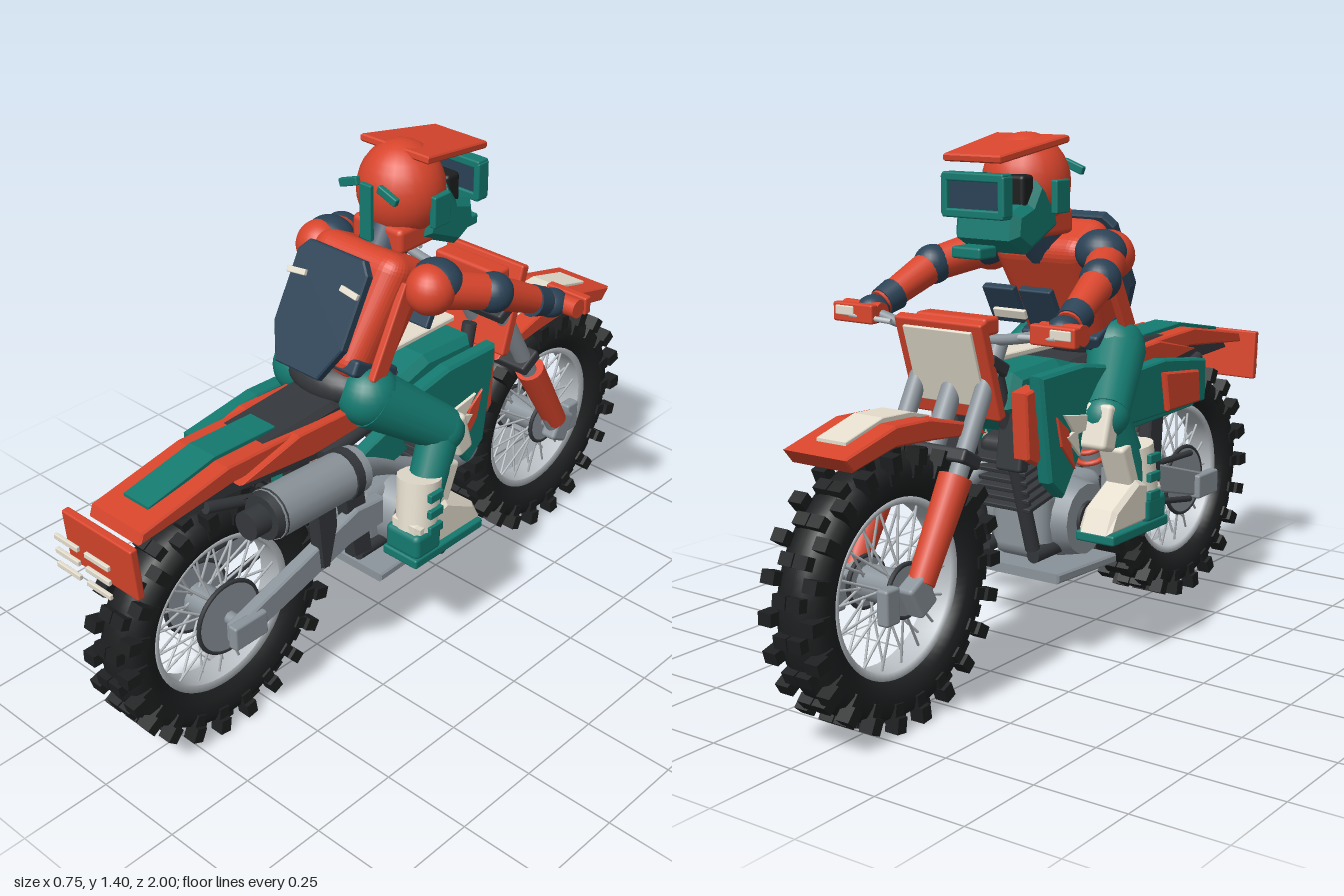
import * as THREE from 'three';
import { mergeGeometries } from 'three/addons/utils/BufferGeometryUtils.js';
import { RoundedBoxGeometry } from 'three/addons/geometries/RoundedBoxGeometry.js';

const mat = (color) => new THREE.MeshStandardMaterial({ color, roughness: 0.7 });
const M = {
  red: mat(0xd8452c), teal: mat(0x147a70), navy: mat(0x2a4256), black: mat(0x1d1f20),
  dark: mat(0x34373b), grey: mat(0x8b949b), silver: mat(0xb9bfc4), cream: mat(0xe6dfcf),
};
const V = (p) => new THREE.Vector3(...p);

export function createModel() {
  const root = new THREE.Group();
  root.name = 'motocrossRider';
  let target = root;

  const add = (name, m, geo) => {
    const mesh = new THREE.Mesh(geo, M[m]);
    mesh.name = name;
    target.add(mesh);
    return mesh;
  };
  const box = (name, m, size, pos, rx = 0, ry = 0, rz = 0) => {
    const mesh = add(name, m, new RoundedBoxGeometry(...size, 2, Math.min(...size) * 0.22));
    mesh.position.set(...pos);
    mesh.rotation.set(rx, ry, rz);
    return mesh;
  };
  const ball = (name, m, pos, r, scale = [1, 1, 1]) => {
    const mesh = add(name, m, new THREE.SphereGeometry(r, 24, 16));
    mesh.position.set(...pos);
    mesh.scale.set(...scale);
    return mesh;
  };
  // Tapered round bar from a to b
  const rodGeo = (a, b, r1, r2 = r1, sides = 16) => {
    const d = V(b).sub(V(a));
    const q = new THREE.Quaternion().setFromUnitVectors(new THREE.Vector3(0, 1, 0), d.clone().normalize());
    const mid = V(a).addScaledVector(d, 0.5);
    return new THREE.CylinderGeometry(r2, r1, d.length(), sides).applyQuaternion(q).translate(mid.x, mid.y, mid.z);
  };
  const rod = (name, m, a, b, r1, r2) => add(name, m, rodGeo(a, b, r1, r2));
  // Side outline of [z, y] points, extruded across x around the centre cx
  const slab = (name, m, pts, width, cx = 0, bevel = 0.005) => {
    const shape = new THREE.Shape(pts.map(([z, y]) => new THREE.Vector2(z, y)));
    const depth = width - 2 * bevel;
    const geo = new THREE.ExtrudeGeometry(shape, { depth, bevelSize: bevel, bevelThickness: bevel, bevelSegments: 1, bevelOffset: -bevel });
    return add(name, m, geo.rotateY(-Math.PI / 2).translate(cx + depth / 2, 0, 0));
  };
  const both = (fn) => [1, -1].forEach(fn);
  const group = (name, fn) => {
    const g = new THREE.Group();
    g.name = name;
    root.add(g);
    target = g;
    fn(g);
    target = root;
  };

  // Wheels: tyre, knobs, rim, crossed spokes, hub
  const wheel = (name, z, discR) => group(name, (g) => {
    g.position.set(0, 0.345, z);
    const lathe = (pts) => new THREE.LatheGeometry(pts.map(([r, x]) => new THREE.Vector2(r, x)), 64).rotateZ(Math.PI / 2);
    add('tyre', 'black', lathe([[0.222, -0.04], [0.245, -0.06], [0.28, -0.068], [0.31, -0.058], [0.325, -0.03], [0.327, 0],
      [0.325, 0.03], [0.31, 0.058], [0.28, 0.068], [0.245, 0.06], [0.222, 0.04], [0.222, -0.04]]));
    add('rim', 'silver', lathe([[0.205, -0.035], [0.226, -0.042], [0.226, 0.042], [0.205, 0.035], [0.205, -0.035]]));
    const knobs = [], spokes = [], n = 44;
    for (let i = 0; i < n; i++) {
      const a = (i / n) * Math.PI * 2;
      const xs = i % 2 ? [-0.064, 0.064] : [-0.022, 0.022];
      xs.forEach((x) => knobs.push(new THREE.BoxGeometry(0.04, 0.04, 0.032).translate(x, 0.324, 0).rotateX(a)));
      if (i % 2) both((s) => knobs.push(new THREE.BoxGeometry(0.018, 0.035, 0.03).translate(s * 0.064, 0.29, 0).rotateX(a)));
    }
    for (let i = 0; i < 36; i++) {
      const a = (i / 36) * Math.PI * 2, b = a + (i % 4 < 2 ? 0.28 : -0.28), x = i % 2 ? 0.04 : -0.04;
      spokes.push(rodGeo([x, 0.04 * Math.sin(b), 0.04 * Math.cos(b)], [x * 0.3, 0.21 * Math.sin(a), 0.21 * Math.cos(a)], 0.0035, 0.0035, 6));
    }
    add('tyreKnobs', 'black', mergeGeometries(knobs));
    add('spokes', 'silver', mergeGeometries(spokes));
    rod('hub', 'grey', [-0.055, 0, 0], [0.055, 0, 0], 0.045);
    rod('axle', 'grey', [-0.13, 0, 0], [0.13, 0, 0], 0.018);
    both((s) => {
      rod('brakeDisc', 'grey', [s * 0.058, 0, 0], [s * 0.066, 0, 0], discR);
      const ring = add('discEdge', 'dark', new THREE.TorusGeometry(discR, 0.006, 8, 40).rotateY(Math.PI / 2));
      ring.position.x = s * 0.062;
    });
  });
  wheel('rearWheel', 0.62, 0.1);
  wheel('frontWheel', -0.66, 0.065);

  group('frontEnd', () => {
    both((s) => {
      const x = s * 0.105;
      rod('forkTube', 'grey', [x, 0.345, -0.655], [x, 0.9, -0.345], 0.024);
      rod('forkGuard', 'red', [x, 0.37, -0.655], [x, 0.6, -0.52], 0.034, 0.042);
      box('axleClamp', 'grey', [0.05, 0.09, 0.07], [x, 0.345, -0.67], -0.5);
      box('brakeCaliper', 'grey', [0.035, 0.09, 0.05], [s * 0.085, 0.335, -0.75]);
      // Handlebar half with grip and lever
      const curve = new THREE.CatmullRomCurve3([V([0, 0.91, -0.36]), V([s * 0.1, 0.91, -0.36]), V([s * 0.2, 0.925, -0.36]), V([s * 0.28, 0.945, -0.365]), V([s * 0.36, 0.95, -0.365])]);
      add('handlebar', 'grey', new THREE.TubeGeometry(curve, 24, 0.014, 10));
      rod('grip', 'red', [s * 0.25, 0.945, -0.365], [s * 0.37, 0.947, -0.365], 0.026);
      box('handGuard', 'red', [0.13, 0.05, 0.025], [s * 0.31, 0.945, -0.4]);
      box('guardTrim', 'cream', [0.06, 0.025, 0.015], [s * 0.335, 0.95, -0.408]);
      rod('lever', 'silver', [s * 0.2, 0.93, -0.39], [s * 0.32, 0.94, -0.41], 0.007);
    });
    [[0.64, -0.49], [0.85, -0.375]].forEach(([y, z]) => box('forkClamp', 'dark', [0.27, 0.035, 0.075], [0, y, z], 0.5));
    rod('steeringStem', 'grey', [0, 0.6, -0.5], [0, 0.87, -0.35], 0.028);
    box('frontPlate', 'red', [0.27, 0.26, 0.03], [0, 0.84, -0.405], -0.3);
    box('frontPlateFace', 'cream', [0.21, 0.2, 0.012], [0, 0.845, -0.425], -0.3);
    box('barPad', 'red', [0.22, 0.045, 0.06], [0, 0.945, -0.375]);
    slab('frontFender', 'red', [[-0.38, 0.68], [-0.42, 0.71], [-0.6, 0.755], [-0.72, 0.76], [-0.9, 0.715], [-0.87, 0.68], [-0.72, 0.71], [-0.58, 0.7]], 0.19);
    slab('fenderStripe', 'cream', [[-0.53, 0.745], [-0.61, 0.768], [-0.71, 0.772], [-0.84, 0.738], [-0.84, 0.728], [-0.71, 0.755], [-0.6, 0.75]], 0.09, 0, 0.002);
  });

  group('frameAndEngine', () => {
    both((s) => {
      rod('downTube', 'dark', [s * 0.06, 0.82, -0.3], [s * 0.08, 0.33, -0.17], 0.02);
      rod('lowerRail', 'dark', [s * 0.08, 0.31, -0.17], [s * 0.09, 0.32, 0.18], 0.02);
      rod('upperRail', 'dark', [s * 0.06, 0.74, -0.28], [s * 0.09, 0.68, 0.3], 0.02);
      slab('sideFrame', 'dark', [[0.15, 0.33], [0.22, 0.34], [0.27, 0.62], [0.2, 0.68]], 0.04, s * 0.1);
      slab('rearBracket', 'dark', [[0.33, 0.38], [0.36, 0.39], [0.38, 0.62], [0.31, 0.62], [0.3, 0.5]], 0.04, s * 0.12);
      rod('subframe', 'dark', [s * 0.08, 0.56, 0.2], [s * 0.07, 0.71, 0.68], 0.015);
      // Swingarm leg
      slab('swingarm', 'grey', [[0.66, 0.315], [0.66, 0.365], [0.22, 0.5], [0.12, 0.49], [0.12, 0.41], [0.25, 0.405], [0.58, 0.315]], 0.038, s * 0.115);
      box('chainAdjuster', 'grey', [0.03, 0.07, 0.11], [s * 0.135, 0.345, 0.62]);
      rod('crankCover', 'grey', [s * 0.07, 0.38, 0], [s * 0.135, 0.38, 0], 0.11, 0.095);
      rod('crankCap', 'dark', [s * 0.135, 0.38, 0], [s * 0.145, 0.38, 0], 0.05);
      rod('footPeg', 'dark', [s * 0.12, 0.36, 0.05], [s * 0.28, 0.36, 0.05], 0.016);
      box('radiator', 'dark', [0.08, 0.2, 0.04], [s * 0.09, 0.66, -0.26], 0.15);
    });
    box('engineBlock', 'grey', [0.18, 0.2, 0.3], [0, 0.38, 0.01]);
    box('cylinder', 'dark', [0.15, 0.2, 0.12], [0, 0.53, -0.13], -0.2);
    for (let i = 0; i < 6; i++) box('coolingFin', 'dark', [0.21, 0.012, 0.17], [0, 0.46 + i * 0.025, -0.135 - i * 0.005], -0.2);
    slab('skidPlate', 'grey', [[0.14, 0.225], [0.14, 0.25], [-0.14, 0.262], [-0.14, 0.235]], 0.28);
    rod('shock', 'grey', [0, 0.44, 0.24], [0, 0.7, 0.14], 0.03);
    for (let i = 0; i < 6; i++) {
      const coil = add('shockCoil', 'red', new THREE.TorusGeometry(0.042, 0.008, 8, 20).rotateX(Math.PI / 2 - 0.37));
      coil.position.set(0, 0.49 + i * 0.033, 0.22 - i * 0.013);
    }
    // Exhaust on the left, chain on the right
    rod('muffler', 'grey', [0.19, 0.69, 0.29], [0.19, 0.702, 0.59], 0.062, 0.065);
    rod('mufflerBand', 'dark', [0.19, 0.692, 0.32], [0.19, 0.694, 0.345], 0.068);
    rod('mufflerEnd', 'dark', [0.19, 0.702, 0.58], [0.19, 0.703, 0.61], 0.066, 0.058);
    rod('mufflerTip', 'dark', [0.19, 0.703, 0.6], [0.19, 0.704, 0.66], 0.037);
    const pipe = new THREE.CatmullRomCurve3([V([0.04, 0.56, -0.19]), V([0.11, 0.47, -0.25]), V([0.14, 0.5, -0.08]), V([0.14, 0.6, 0.13]), V([0.19, 0.69, 0.3])]);
    add('exhaustPipe', 'grey', new THREE.TubeGeometry(pipe, 32, 0.026, 12));
    [0.29, 0.43].forEach((y) => rod('chain', 'dark', [-0.085, y, 0.62], [-0.085, (y + 0.4) / 2 + 0.03, 0.13], 0.009));
  });

  group('bodywork', () => {
    slab('fuelTank', 'teal', [[0.06, 0.66], [0.06, 0.78], [-0.08, 0.82], [-0.26, 0.81], [-0.29, 0.72], [-0.2, 0.64]], 0.21, 0, 0.02);
    slab('tankStrip', 'cream', [[0.07, 0.833], [0.07, 0.848], [-0.26, 0.848], [-0.26, 0.833]], 0.08, 0, 0.003);
    slab('seat', 'dark', [[0.56, 0.775], [0.5, 0.8], [0.25, 0.815], [0.02, 0.8], [-0.06, 0.79], [0, 0.74], [0.3, 0.72]], 0.17, 0, 0.015);
    slab('rearFender', 'red', [[0.9, 0.725], [0.89, 0.755], [0.62, 0.805], [0.3, 0.795], [0.3, 0.74], [0.6, 0.755]], 0.185);
    slab('rearFenderStripe', 'teal', [[0.83, 0.768], [0.83, 0.776], [0.62, 0.817], [0.42, 0.81], [0.42, 0.79], [0.62, 0.8]], 0.09, 0, 0.002);
    slab('innerFender', 'dark', [[0.86, 0.71], [0.84, 0.735], [0.55, 0.76], [0.25, 0.72], [0.28, 0.66], [0.6, 0.7]], 0.13);
    box('tailPlate', 'red', [0.25, 0.145, 0.022], [0, 0.68, 0.937], 0.08);
    both((s) => [0.635, 0.675, 0.715].forEach((y) => box('tailTrim', 'cream', [0.085, 0.014, 0.01], [s * 0.055, y, 0.995])));
    box('tailLight', 'teal', [0.09, 0.045, 0.05], [0, 0.79, 0.5]);
    both((s) => {
      slab('radiatorShroud', 'teal', [[0.06, 0.79], [-0.08, 0.815], [-0.27, 0.81], [-0.26, 0.73], [-0.23, 0.53], [-0.17, 0.48], [-0.08, 0.6], [0.06, 0.66]], 0.045, s * 0.158, 0.008);
      slab('shroudWing', 'red', [[-0.24, 0.78], [-0.3, 0.77], [-0.29, 0.6], [-0.25, 0.58], [-0.21, 0.62]], 0.05, s * 0.13);
      slab('shroudFlash', 'cream', [[-0.06, 0.68], [-0.18, 0.7], [-0.14, 0.65], [-0.17, 0.64], [-0.11, 0.58], [-0.12, 0.64], [-0.08, 0.645]], 0.01, s * 0.184, 0.002);
      slab('shroudSpark', 'red', [[-0.16, 0.66], [-0.21, 0.7], [-0.19, 0.62], [-0.13, 0.55]], 0.01, s * 0.182, 0.002);
      slab('seatSide', 'red', [[0.6, 0.75], [0.4, 0.8], [0.02, 0.78], [0.1, 0.73], [0.35, 0.72]], 0.03, s * 0.095);
      slab('sidePanel', 'teal', [[0.52, 0.6], [0.5, 0.64], [0.3, 0.655], [0.1, 0.72], [0.05, 0.62], [0.15, 0.59]], 0.04, s * 0.135);
    });
    slab('rightNumberPanel', 'teal', [[0.52, 0.62], [0.52, 0.74], [0.3, 0.77], [0.06, 0.76], [0.1, 0.62]], 0.045, -0.168);
    slab('rightPanelTrim', 'red', [[0.46, 0.63], [0.45, 0.72], [0.27, 0.74], [0.29, 0.63]], 0.02, -0.2);
  });

  group('riderBody', () => {
    ball('hips', 'dark', [0, 0.835, 0.17], 0.1, [1.4, 0.65, 0.9]);
    // Torso leaning over the bars, wider at the chest
    const torso = new RoundedBoxGeometry(0.27, 0.34, 0.17, 4, 0.05);
    const p = torso.attributes.position;
    for (let i = 0; i < p.count; i++) p.setX(i, p.getX(i) * (1 + p.getY(i) * 0.9));
    torso.computeVertexNormals();
    const body = add('torso', 'red', torso);
    body.position.set(0, 0.995, 0.085);
    body.rotation.x = -0.48;
    box('belt', 'navy', [0.25, 0.045, 0.17], [0, 0.875, 0.14], -0.48);
    const plate = new THREE.Shape([[-0.07, -0.16], [0.07, -0.16], [0.115, -0.07], [0.115, 0.12], [0.09, 0.15], [-0.09, 0.15], [-0.115, 0.12], [-0.115, -0.07]].map((c) => new THREE.Vector2(...c)));
    const back = add('backProtector', 'navy', new THREE.ExtrudeGeometry(plate, { depth: 0.02, bevelSize: 0.004, bevelThickness: 0.004, bevelSegments: 1 }));
    back.position.set(0, 1.035, 0.205);
    back.rotation.x = -0.5;
    both((s) => {
      box('backTrim', 'cream', [0.06, 0.016, 0.012], [s * 0.09, 1.11, 0.2], -0.5, 0, -s * 0.12);
      box('sideStrap', 'red', [0.022, 0.26, 0.05], [s * 0.15, 0.985, 0.11], -0.48);
      box('chestPad', 'navy', [0.1, 0.11, 0.022], [s * 0.058, 0.955, -0.1], -0.5);
    });
    box('chestTrim', 'cream', [0.1, 0.025, 0.012], [0, 0.94, -0.155], -0.4);
    rod('neck', 'navy', [0, 1.09, 0.01], [0, 1.2, -0.06], 0.065);
  });

  both((s) => group(s > 0 ? 'leftLimbs' : 'rightLimbs', () => {
    const P = (x, y, z) => [s * x, y, z];
    // Arm
    ball('shoulder', 'red', P(0.19, 1.085, 0.015), 0.066);
    ball('shoulderPad', 'navy', P(0.185, 1.095, -0.015), 0.07, [1, 0.85, 0.9]);
    rod('upperArm', 'red', P(0.19, 1.085, 0.01), P(0.262, 1.045, -0.14), 0.052, 0.046);
    ball('elbowPad', 'navy', P(0.265, 1.045, -0.14), 0.053);
    rod('forearm', 'red', P(0.265, 1.045, -0.14), P(0.295, 0.96, -0.32), 0.046, 0.034);
    rod('cuff', 'navy', P(0.288, 0.98, -0.27), P(0.294, 0.962, -0.315), 0.043, 0.038);
    ball('glove', 'navy', P(0.297, 0.948, -0.345), 0.042, [1, 0.9, 1.1]);
    // Leg
    ball('hipJoint', 'teal', P(0.115, 0.815, 0.16), 0.082);
    rod('thigh', 'teal', P(0.12, 0.81, 0.16), P(0.205, 0.675, -0.02), 0.08, 0.062);
    ball('knee', 'teal', P(0.205, 0.67, -0.02), 0.063);
    box('kneeGuard', 'cream', [0.085, 0.12, 0.06], P(0.21, 0.65, -0.055), 0.3);
    rod('shin', 'teal', P(0.208, 0.665, -0.01), P(0.23, 0.45, 0.1), 0.055, 0.048);
    rod('bootShaft', 'cream', P(0.22, 0.58, 0.08), P(0.23, 0.44, 0.1), 0.06, 0.056);
    box('bootTongue', 'cream', [0.08, 0.15, 0.05], P(0.225, 0.53, 0.02), -0.4);
    [0.45, 0.5, 0.55].forEach((y) => box('bootBuckle', 'teal', [0.015, 0.025, 0.05], P(0.285, y, 0.09)));
    slab('bootFoot', 'cream', [[0.15, 0.38], [0.15, 0.47], [0.03, 0.5], [-0.08, 0.44], [-0.11, 0.38]], 0.1, s * 0.228, 0.012);
    box('bootHeel', 'teal', [0.115, 0.075, 0.1], P(0.228, 0.41, 0.11));
    box('bootSole', 'teal', [0.118, 0.028, 0.27], P(0.228, 0.367, 0.03));
  }));

  group('helmet', () => {
    ball('shell', 'red', [0, 1.27, -0.085], 0.125, [0.93, 1.02, 0.9]);
    box('neckRim', 'red', [0.17, 0.07, 0.14], [0, 1.17, -0.06]);
    slab('chinGuard', 'teal', [[-0.07, 1.16], [-0.09, 1.24], [-0.16, 1.29], [-0.2, 1.23], [-0.26, 1.21], [-0.27, 1.14], [-0.2, 1.1]], 0.2, 0, 0.02);
    box('eyeport', 'black', [0.17, 0.085, 0.05], [0, 1.255, -0.19]);
    // Peak, sloping down and narrowing toward the tip
    const peak = new THREE.Shape([[-0.11, 0], [0.11, 0], [0.085, 0.25], [-0.085, 0.25]].map((c) => new THREE.Vector2(...c)));
    const visor = add('peak', 'red', new THREE.ExtrudeGeometry(peak, { depth: 0.012, bevelSize: 0.004, bevelThickness: 0.004, bevelSegments: 1 }));
    visor.position.set(0, 1.375, -0.06);
    visor.rotation.x = -Math.PI / 2 - 0.16;
    box('mouthVent', 'teal', [0.09, 0.03, 0.07], [0, 1.112, -0.305]);
    box('goggleLens', 'navy', [0.16, 0.075, 0.02], [0, 1.25, -0.29]);
    [1.205, 1.295].forEach((y) => box('goggleRim', 'teal', [0.19, 0.022, 0.04], [0, y, -0.293]));
    box('crestStripe', 'teal', [0.038, 0.15, 0.014], [0, 1.245, 0.042]);
    both((s) => {
      box('goggleSide', 'teal', [0.02, 0.1, 0.04], [s * 0.088, 1.25, -0.293]);
      box('sideVent', 'teal', [0.02, 0.085, 0.06], [s * 0.118, 1.24, -0.1]);
      box('rearVent', 'teal', [0.065, 0.022, 0.016], [s * 0.065, 1.305, 0.035], 0, 0, s * -0.35);
    });
  });

  return root;
}
